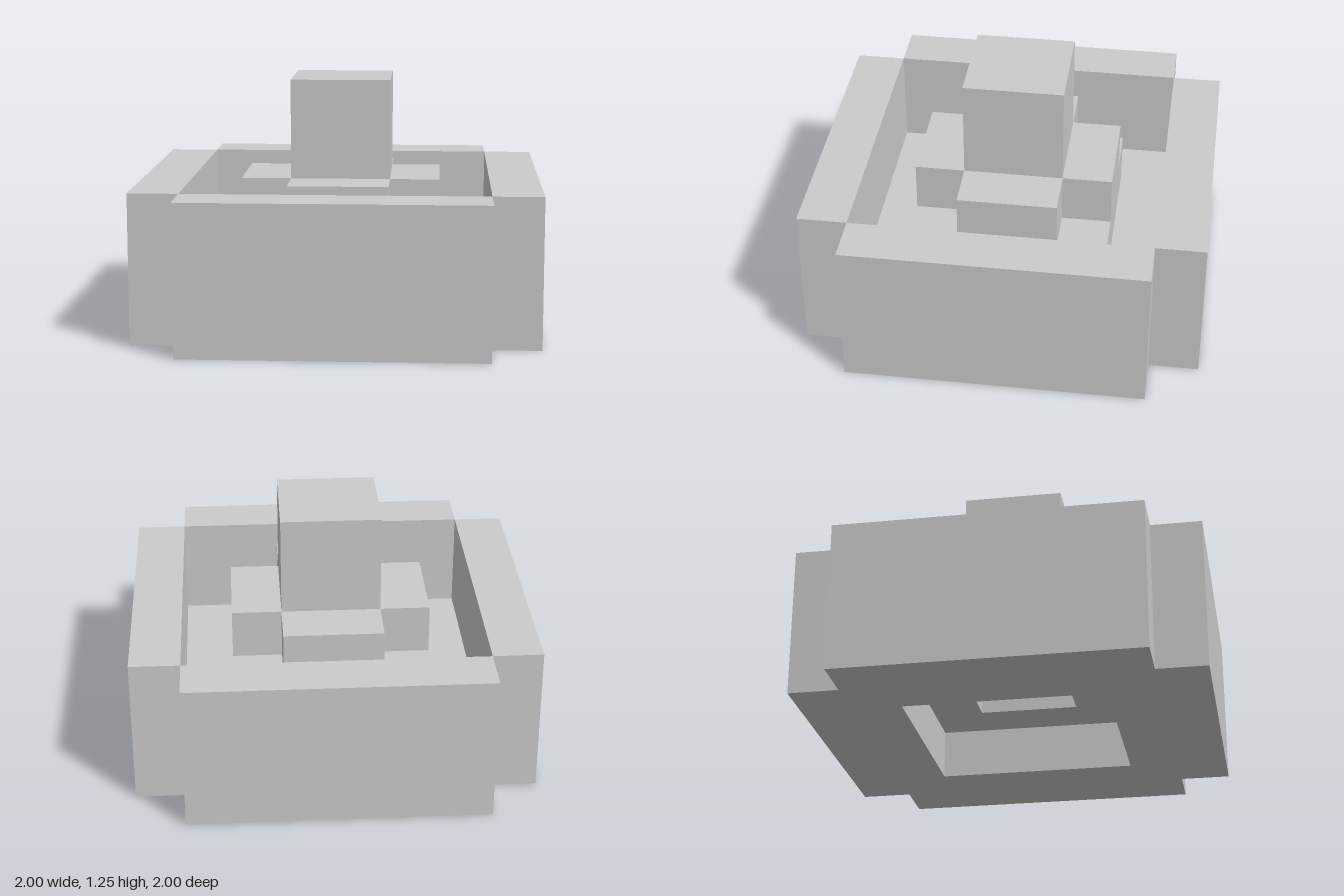
import * as THREE from 'three';

const material = new THREE.MeshStandardMaterial({ color: 0xcccccc, flatShading: true });

function add(group, name, geometry, x, y, z) {
  const mesh = new THREE.Mesh(geometry, material);
  mesh.name = name;
  mesh.position.set(x, y, z);
  group.add(mesh);
  return mesh;
}

// Flat square slab with a square opening, lying on its base height
function squareRing(outer, inner, height) {
  const square = (Type, r) => new Type([[-r, -r], [r, -r], [r, r], [-r, r]].map(([x, y]) => new THREE.Vector2(x, y)));
  const shape = square(THREE.Shape, outer);
  shape.holes.push(square(THREE.Path, inner));
  return new THREE.ExtrudeGeometry(shape, { depth: height, bevelEnabled: false }).rotateX(-Math.PI / 2);
}

export function createModel() {
  const model = new THREE.Group();
  model.name = 'courtyardTower';

  // Stepped floor, open underneath
  add(model, 'floor', squareRing(0.75, 0.5, 0.25), 0, 0, 0);
  add(model, 'platform', squareRing(0.5, 0.25, 0.25), 0, 0.25, 0);

  // One outer wall and one inner step on each of the four sides
  for (let i = 0; i < 4; i++) {
    const side = new THREE.Group();
    side.name = 'side' + (i + 1);
    side.rotation.y = i * Math.PI / 2;
    add(side, 'outerWall', new THREE.BoxGeometry(1.5, 0.75, 0.25), 0, 0.375, 0.875);
    add(side, 'innerStep', new THREE.BoxGeometry(0.5, 0.25, 0.25), 0, 0.625, 0.375);
    model.add(side);
  }

  // Central block on top of the steps
  add(model, 'tower', new THREE.BoxGeometry(0.5, 0.5, 0.5), 0, 1, 0);

  return model;
}
